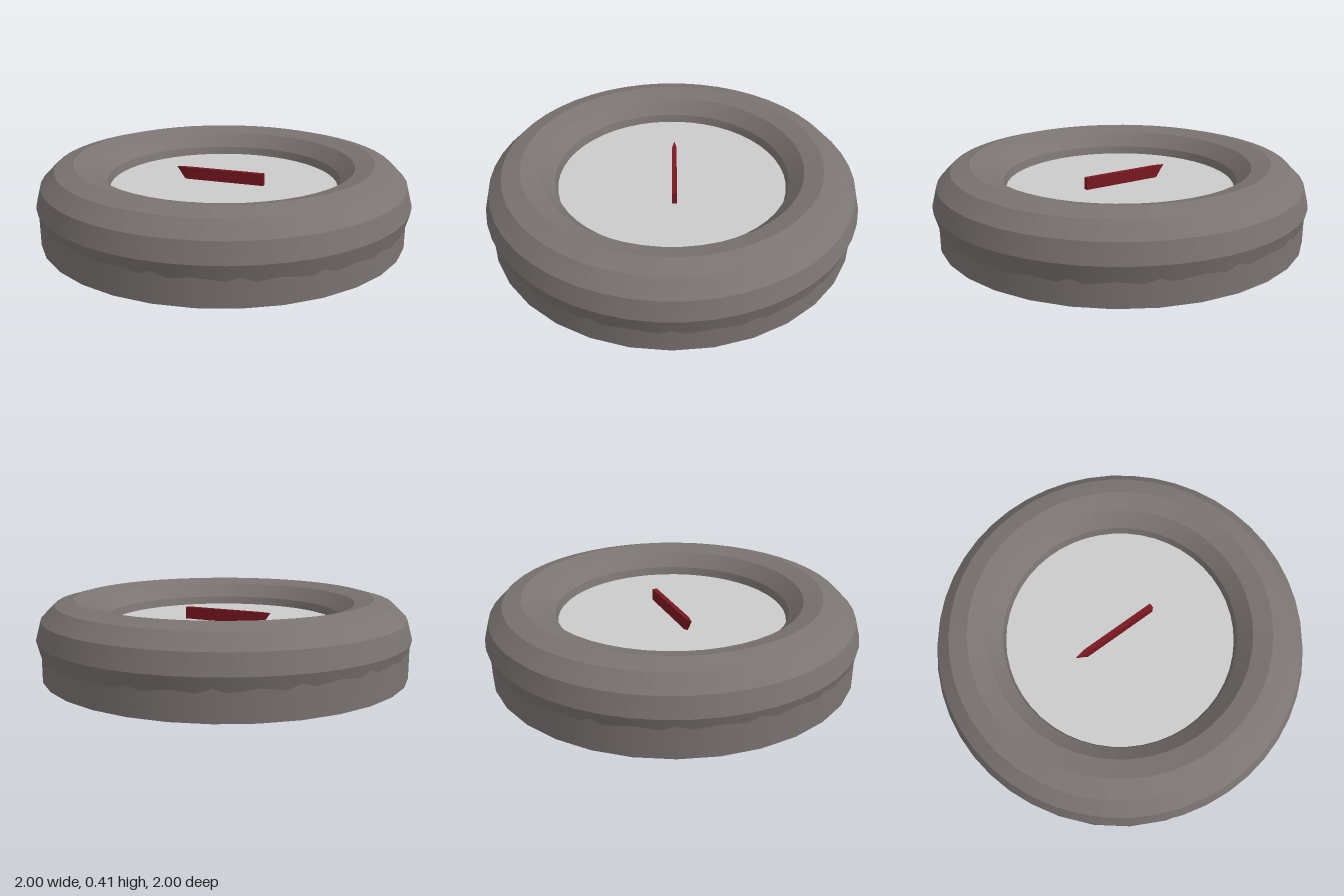
import * as THREE from 'three';
import { toCreasedNormals } from 'three/addons/utils/BufferGeometryUtils.js';

const material = (color) => new THREE.MeshStandardMaterial({ color });

function addPart(parent, name, geometry, mat) {
  const mesh = new THREE.Mesh(geometry, mat);
  mesh.name = name;
  parent.add(mesh);
  return mesh;
}

export function createModel() {
  const group = new THREE.Group();
  group.name = 'dialGauge';
  const metal = material(0x7a7472);
  const plate = material(0xcccccc);
  const red = material(0x7a1820);

  // Short drum with a closed underside, tucked into the rim
  const body = addPart(group, 'body', new THREE.CylinderGeometry(0.983, 0.983, 0.2, 32), metal);
  body.position.set(-0.006, 0.1, 0);

  // Fat rounded rim, faceted around its tube and smooth along its length
  const rimGeometry = new THREE.TorusGeometry(0.8, 0.2, 12, 48).rotateX(-Math.PI / 2);
  const rim = addPart(group, 'rim', toCreasedNormals(rimGeometry, 0.4), metal);
  rim.position.y = 0.205;

  // Recessed face plate, its edge buried in the rim
  const face = addPart(group, 'dialFace', new THREE.CylinderGeometry(0.617, 0.617, 0.08, 48), plate);
  face.position.y = 0.222;

  // Pointer: a slim bar pinched to a point, with the tip undercut
  const bar = new THREE.BoxGeometry(0.5, 0.065, 0.026, 2, 1, 1);
  const pos = bar.attributes.position;
  for (let i = 0; i < pos.count; i++) {
    const x = pos.getX(i);
    if (Math.abs(x) < 0.01) pos.setX(i, -0.19);
    if (x < -0.2) {
      pos.setZ(i, pos.getZ(i) * 0.08);
      pos.setX(i, pos.getY(i) > 0 ? -0.25 : -0.205);
    }
  }
  const pointer = addPart(group, 'pointer', toCreasedNormals(bar, 0.3), red);
  pointer.position.set(-0.025, 0.294, -0.018);
  pointer.rotation.y = -0.2;

  return group;
}
